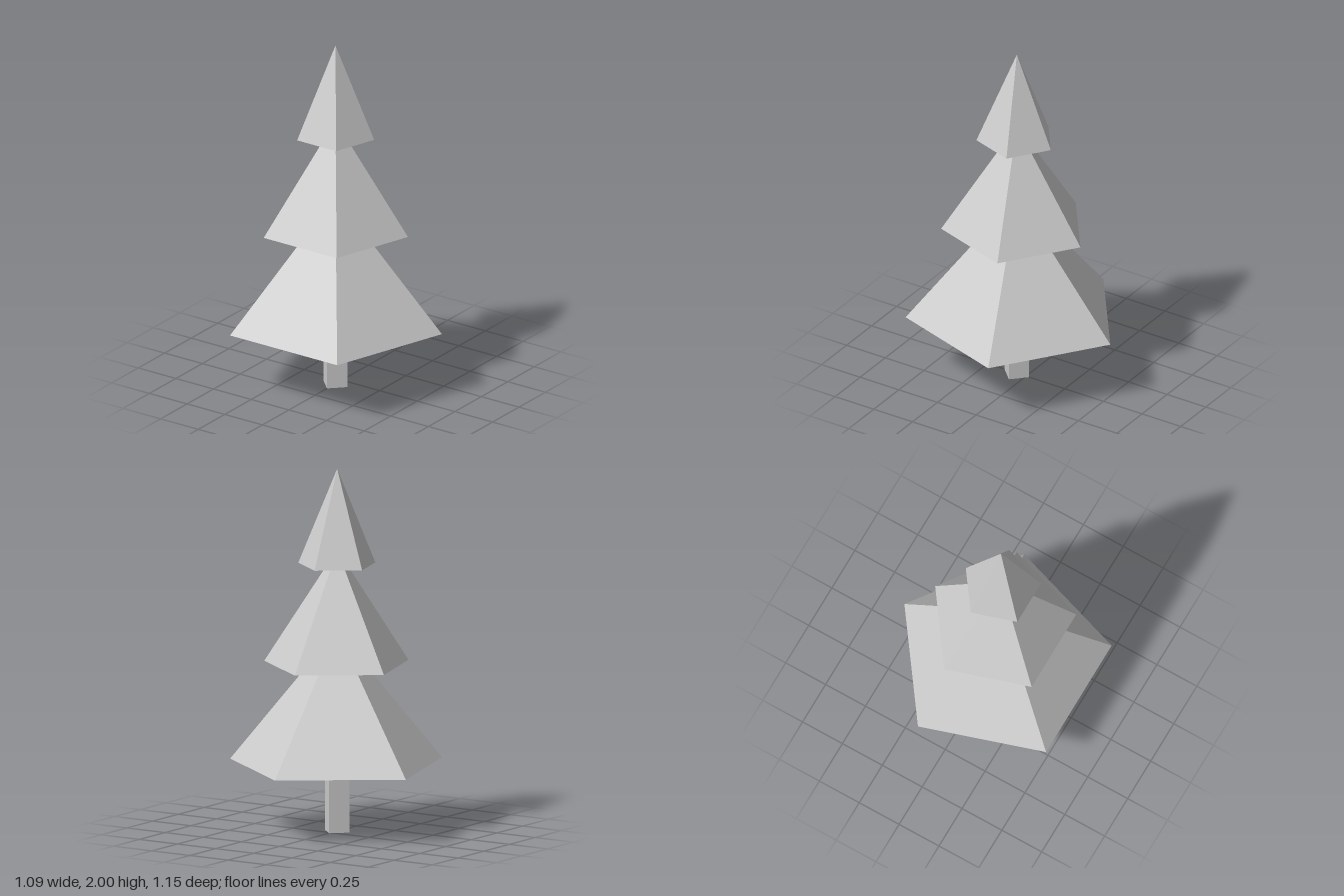
import * as THREE from 'three';

const AXIS_X = -0.06; // the pentagon's centre sits left of its bounding box centre

export function createModel() {
  const grey = new THREE.MeshStandardMaterial({ color: 0xcccccc, flatShading: true });
  grey.name = 'light grey';

  const tree = new THREE.Group();
  tree.name = 'tree';

  const add = (name, geometry, baseY, height) => {
    const mesh = new THREE.Mesh(geometry, grey);
    mesh.name = name;
    mesh.position.set(AXIS_X, baseY + height / 2, 0);
    tree.add(mesh);
  };

  // Four-sided trunk with its corners on the axes
  add('trunk', new THREE.CylinderGeometry(0.08, 0.08, 0.37, 4), 0, 0.37);

  // Three overlapping five-sided tiers, one corner pointing to +x
  const tiers = [
    ['lowerFoliage', 0.605, 0.74, 0.37],
    ['middleFoliage', 0.412, 0.635, 0.92],
    ['upperFoliage', 0.22, 0.53, 1.47],
  ];
  for (const [name, radius, height, baseY] of tiers) {
    add(name, new THREE.ConeGeometry(radius, height, 5).rotateY(Math.PI / 2), baseY, height);
  }
  return tree;
}
